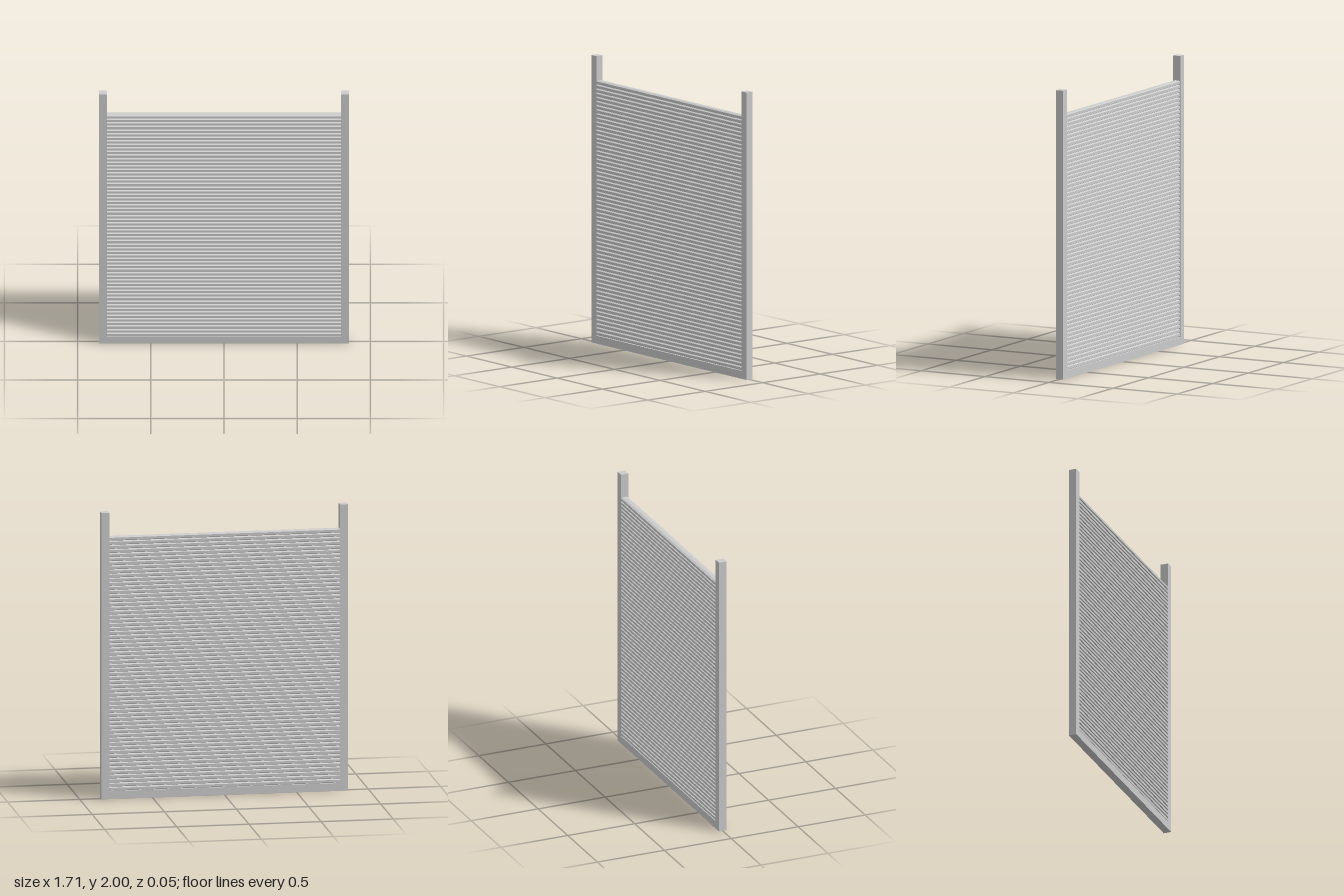
import * as THREE from 'three';

const HALF_W = 0.855, INNER = 0.8, HEIGHT = 2, RAIL = 0.055, DEPTH = 0.055;
const CURTAIN_TOP = 1.83, SLATS = 62;

const shapeFrom = (points) => new THREE.Shape(points.map(([x, y]) => new THREE.Vector2(x, y)));

export function createModel() {
  const group = new THREE.Group();
  const material = new THREE.MeshStandardMaterial({ color: 0xcccccc, flatShading: true });

  // U-shaped frame: two posts and a bottom rail in one piece
  const frameGeometry = new THREE.ExtrudeGeometry(shapeFrom([
    [-HALF_W, 0], [HALF_W, 0], [HALF_W, HEIGHT], [INNER, HEIGHT],
    [INNER, RAIL], [-INNER, RAIL], [-INNER, HEIGHT], [-HALF_W, HEIGHT],
  ]), { depth: DEPTH, bevelEnabled: false });
  frameGeometry.translate(0, 0, -DEPTH / 2);
  const frame = new THREE.Mesh(frameGeometry, material);
  frame.name = 'frame';
  group.add(frame);

  // Slat section: upright faces front and back, bevelled in to a groove at each joint
  const pitch = (CURTAIN_TOP - RAIL) / SLATS;
  const face = 0.0265, groove = 0.012, bevel = 0.006;
  const slatGeometry = new THREE.ExtrudeGeometry(shapeFrom([
    [-groove, 0], [groove, 0], [face, bevel], [face, pitch - bevel],
    [groove, pitch], [-groove, pitch], [-face, pitch - bevel], [-face, bevel],
  ]), { depth: INNER * 2, bevelEnabled: false });
  slatGeometry.translate(0, 0, -INNER);
  slatGeometry.rotateY(Math.PI / 2);

  // Curtain of stacked slats between the posts
  const curtain = new THREE.Group();
  curtain.name = 'slatCurtain';
  for (let i = 0; i < SLATS; i++) {
    const slat = new THREE.Mesh(slatGeometry, material);
    slat.name = `slat${i + 1}`;
    slat.position.y = RAIL + i * pitch;
    curtain.add(slat);
  }
  group.add(curtain);

  return group;
}
